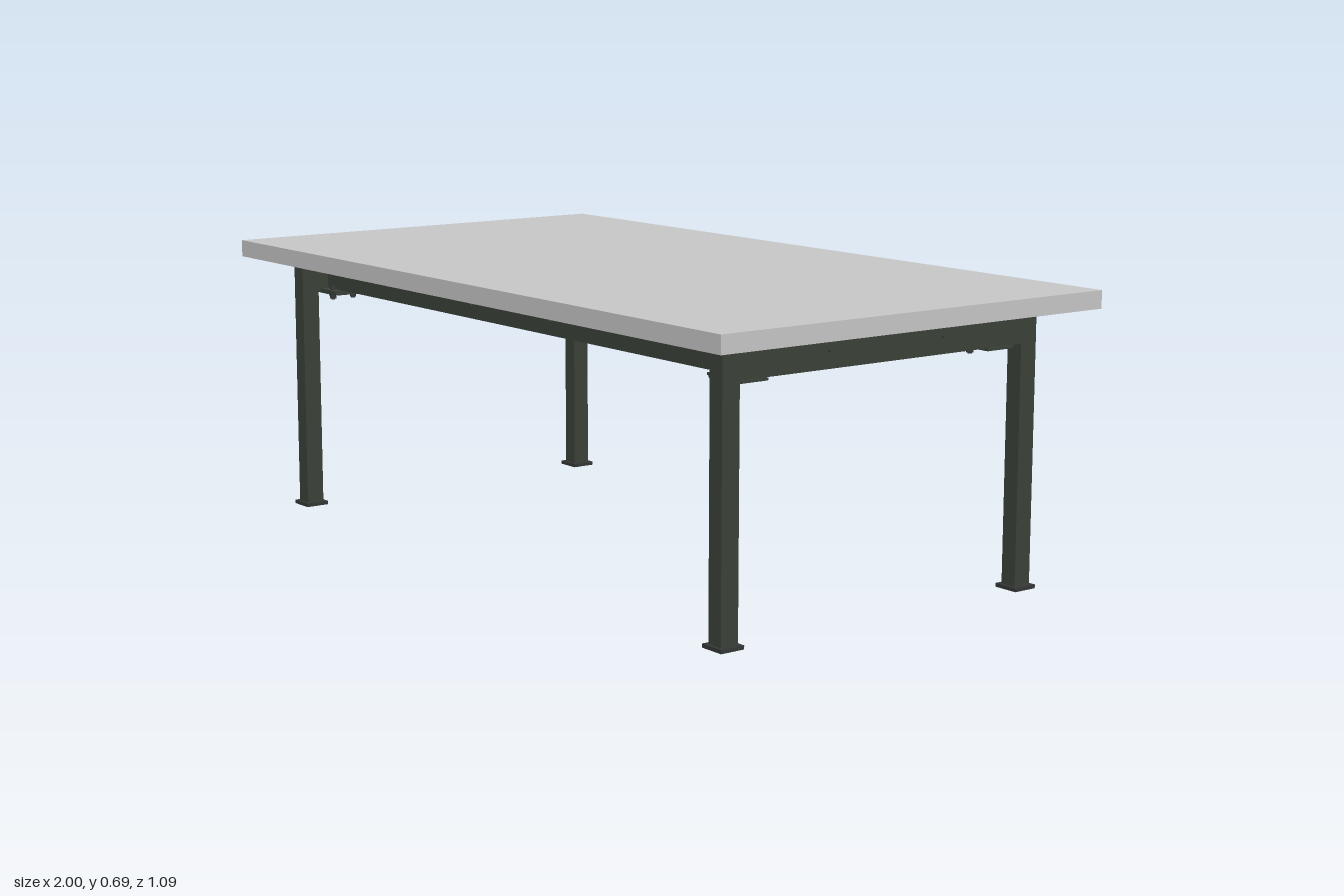
import * as THREE from 'three';

const mat = (name, color) => {
  const m = new THREE.MeshStandardMaterial({ color });
  m.name = name;
  return m;
};

export function createModel() {
  const model = new THREE.Group();
  model.name = 'table';
  const slab = mat('light grey top', 0xc8c8c8);
  const steel = mat('dark green steel', 0x3b4239);
  const fixing = mat('dark fixing', 0x343836);

  const add = (name, geometry, material, x, y, z, parent = model) => {
    const mesh = new THREE.Mesh(geometry, material);
    mesh.name = name;
    mesh.position.set(x, y, z);
    parent.add(mesh);
    return mesh;
  };
  // Box given by its extents on each axis
  const block = (name, material, [x0, x1], [y0, y1], [z0, z1], parent) =>
    add(name, new THREE.BoxGeometry(x1 - x0, y1 - y0, z1 - z0), material,
      (x0 + x1) / 2, (y0 + y1) / 2, (z0 + z1) / 2, parent);

  // Rail along x with two drilled holes
  const railGeometry = (length, height, width) => {
    const s = new THREE.Shape();
    s.moveTo(-length / 2, -height / 2);
    s.lineTo(length / 2, -height / 2);
    s.lineTo(length / 2, height / 2);
    s.lineTo(-length / 2, height / 2);
    s.closePath();
    for (const x of [-0.163, 0.163]) {
      const hole = new THREE.Path();
      hole.absarc(x, 0, 0.004, 0, Math.PI * 2, true);
      s.holes.push(hole);
    }
    return new THREE.ExtrudeGeometry(s, { depth: width, bevelEnabled: false, curveSegments: 8 })
      .translate(0, 0, -width / 2);
  };

  block('tableTop', slab, [-1, 1], [0.651, 0.693], [-0.543, 0.543]);

  const washer = new THREE.CylinderGeometry(0.011, 0.011, 0.003, 16);
  const nut = new THREE.CylinderGeometry(0.009, 0.009, 0.008, 6);
  const stud = new THREE.CylinderGeometry(0.005, 0.005, 0.03, 12);

  for (const sx of [-1, 1]) {
    const span = (a, b) => (sx > 0 ? [a, b] : [-b, -a]);

    // End frame rail and its middle top tab
    const endRail = add('endRail', railGeometry(0.902, 0.071, 0.042), steel, sx * 0.869, 0.606, 0);
    endRail.rotation.y = Math.PI / 2;
    block('middleTab', steel, span(0.77, 0.87), [0.6415, 0.648], [-0.028, 0.028]);
    add('middleTabScrew', washer, fixing, sx * 0.8, 0.6495, 0);

    for (const sz of [-1, 1]) {
      const across = (a, b) => (sz > 0 ? [a, b] : [-b, -a]);
      const corner = new THREE.Group();
      corner.name = 'corner';
      model.add(corner);

      // Leg and foot plate
      block('leg', steel, span(0.848, 0.89), [0.008, 0.5705], across(0.405, 0.451), corner);
      block('footPlate', fixing, span(0.837, 0.901), [0, 0.009], across(0.397, 0.459), corner);

      // Tabs fixing the frame to the top
      block('topTab', steel, span(0.77, 0.88), [0.6415, 0.648], across(0.276, 0.376), corner);
      for (const z of [0.297, 0.348])
        add('topTabScrew', washer, fixing, sx * 0.79, 0.6495, sz * z, corner);

      // Bolted plates joining the long rail to the end frame
      block('railPlate', steel, span(0.775, 0.848), [0.566, 0.572], across(0.313, 0.4), corner);
      block('framePlate', steel, span(0.775, 0.875), [0.56, 0.566], across(0.317, 0.396), corner);
      for (const z of [0.326, 0.385]) {
        add('boltWasher', washer, fixing, sx * 0.808, 0.5585, sz * z, corner);
        add('boltNut', nut, fixing, sx * 0.808, 0.553, sz * z, corner);
        add('boltStud', stud, fixing, sx * 0.808, 0.561, sz * z, corner);
        add('boltHead', nut, fixing, sx * 0.808, 0.576, sz * z, corner);
      }
    }
  }

  // Long rails between the end frames
  for (const sz of [-1, 1])
    add('longRail', railGeometry(1.696, 0.07, 0.042), steel, 0, 0.607, sz * 0.356);

  return model;
}
